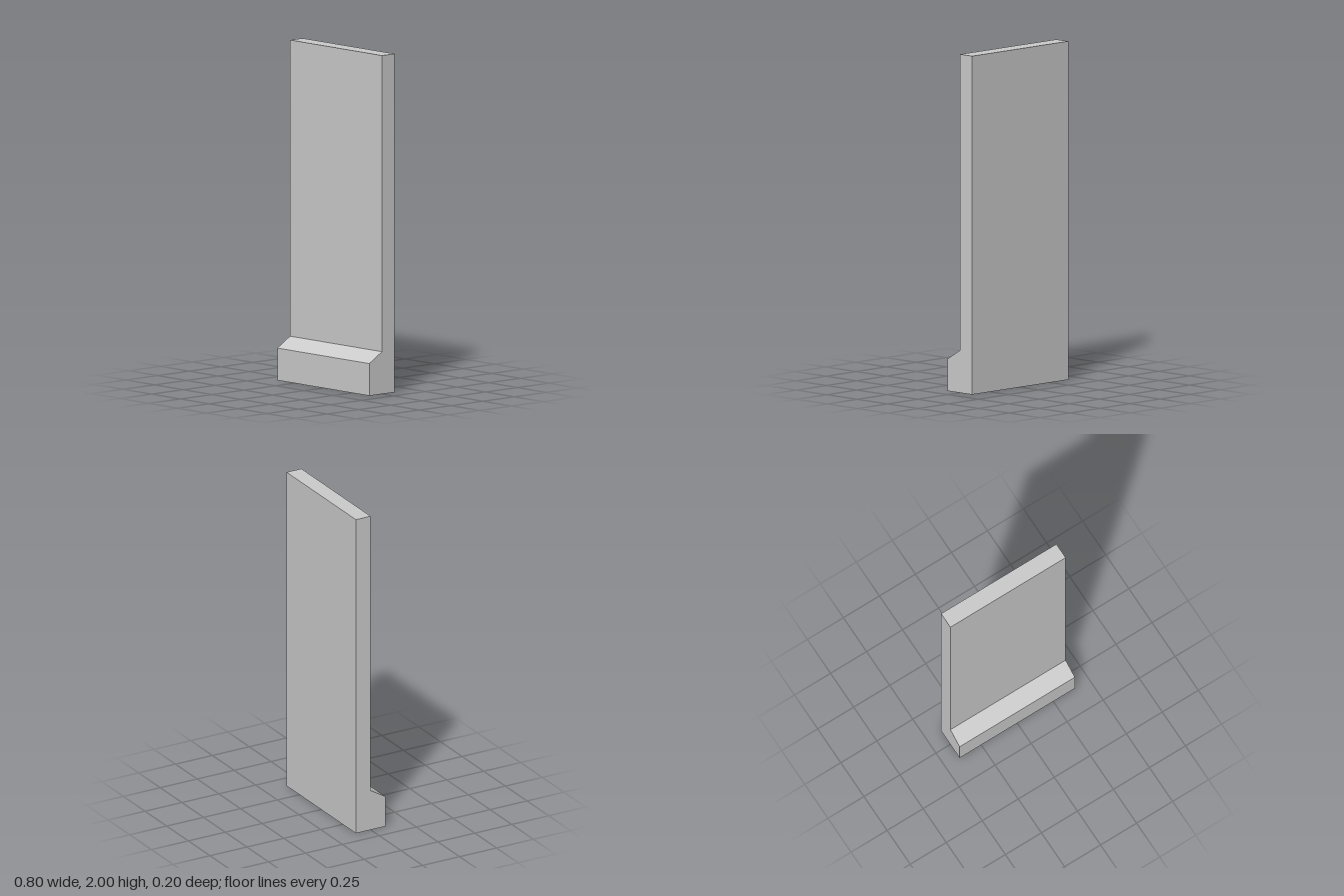
import * as THREE from 'three';

const WIDTH = 0.8;

export function createModel() {
  const group = new THREE.Group();
  group.name = 'wallPanel';

  // Side profile as (z, y): thin slab with a sloped-top plinth at the front foot
  const profile = new THREE.Shape([
    [-0.1, 0], [0.1, 0], [0.1, 0.19], [0, 0.25], [0, 2], [-0.1, 2],
  ].map(([z, y]) => new THREE.Vector2(z, y)));

  // Extrude across the width, then turn the profile to face +z
  const geometry = new THREE.ExtrudeGeometry(profile, { depth: WIDTH, bevelEnabled: false });
  geometry.translate(0, 0, -WIDTH / 2);
  geometry.rotateY(-Math.PI / 2);

  const material = new THREE.MeshStandardMaterial({ color: 0xcccccc, flatShading: true });
  const panel = new THREE.Mesh(geometry, material);
  panel.name = 'panelWithPlinth';
  group.add(panel);
  return group;
}
